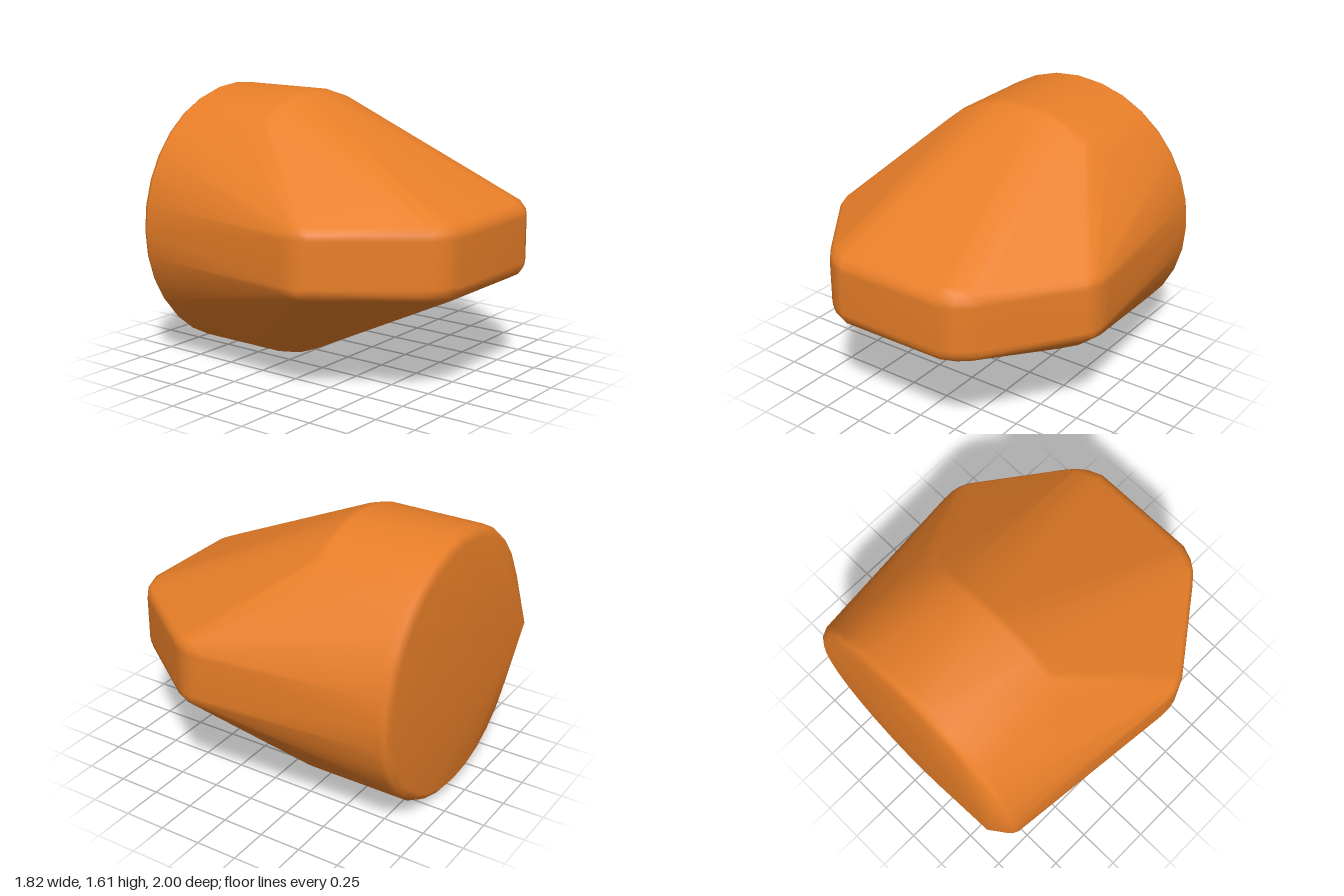
import * as THREE from 'three';
import { ConvexGeometry } from 'three/addons/geometries/ConvexGeometry.js';
import { mergeVertices } from 'three/addons/utils/BufferGeometryUtils.js';

const MID = 0.805; // height of the body's axis

export function createModel() {
  const group = new THREE.Group();
  const points = [];

  // Round rear drum with bevelled rims: [radius, z]
  const sides = 32;
  for (const [r, z] of [[0.795, -0.235], [0.805, -0.285], [0.805, -0.86], [0.787, -0.895], [0.745, -0.925]]) {
    for (let i = 0; i < sides; i++) {
      const a = (i / sides) * Math.PI * 2;
      points.push(new THREE.Vector3(r * Math.cos(a), MID + r * Math.sin(a), z));
    }
  }

  // Off-centre peak on the rear face
  points.push(new THREE.Vector3(-0.68, MID, -1));

  // Flat nose slab, half outline [x, z], rounded over in rings of [inset, half height]
  const outline = [[0.335, 1], [0.42, 0.965], [0.48, 0.92], [0.53, 0.86], [0.875, 0.39], [0.9, 0.335], [0.91, 0.28], [0.908, 0.21]];
  for (const [inset, h] of [[0, 0.13], [0.005, 0.165], [0.03, 0.2], [0.07, 0.222]]) {
    for (const [x, z] of outline) {
      // Inset towards a point inside the slab
      const dx = x - 0.15, dz = z - 0.15;
      const k = 1 - inset / Math.hypot(dx, dz);
      for (const sx of [-1, 1]) {
        for (const sy of [-1, 1]) {
          points.push(new THREE.Vector3(sx * (0.15 + dx * k), MID + sy * h, 0.15 + dz * k));
        }
      }
    }
  }

  // Skin stretched over drum and nose, with smooth shading
  let skin = new ConvexGeometry(points);
  skin.deleteAttribute('normal');
  skin = mergeVertices(skin, 1e-4);
  skin.computeVertexNormals();

  const body = new THREE.Mesh(skin, new THREE.MeshStandardMaterial({ color: 0xe87e28 }));
  body.name = 'body';
  group.add(body);
  return group;
}
